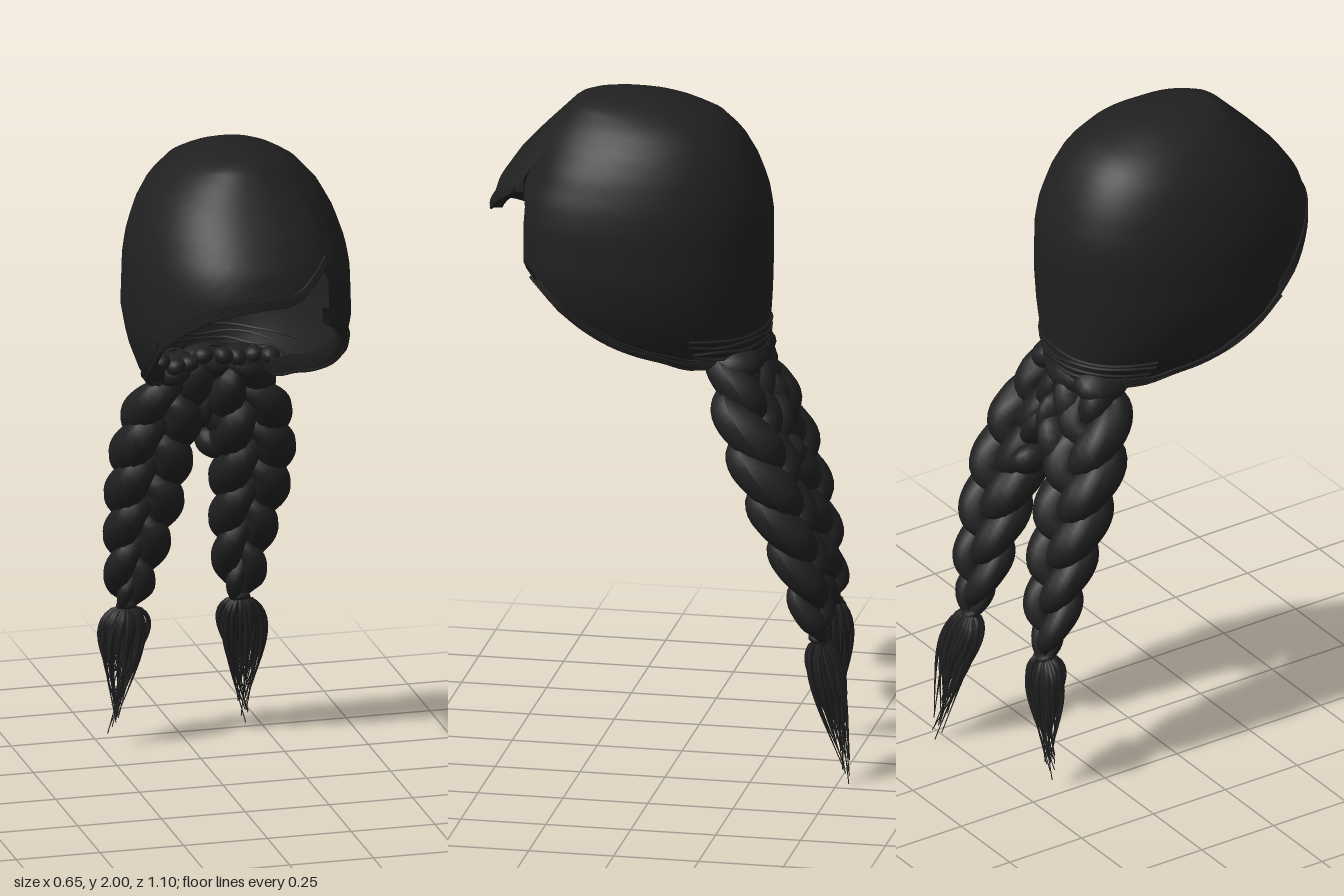
import * as THREE from 'three';

const V = (x, y, z) => new THREE.Vector3(x, y, z);
const hair = new THREE.MeshStandardMaterial({ color: 0x202020, side: THREE.DoubleSide });
hair.name = 'black hair';

let seed = 7;
const rand = () => (seed = (seed * 16807) % 2147483647) / 2147483647;
const spread = (s) => (rand() - 0.5) * 2 * s;

// Linear lookup in rows [key, a, b...] sorted by rising key
function lookup(rows, k, c = 1) {
  let i = 1;
  while (i < rows.length - 1 && rows[i][0] < k) i++;
  const [p, q] = [rows[i - 1], rows[i]];
  return THREE.MathUtils.lerp(p[c], q[c], THREE.MathUtils.clamp((k - p[0]) / (q[0] - p[0]), 0, 1));
}

// Smooth surface through a grid of points
function gridGeometry(rows, cols, point) {
  const pos = [], index = [];
  for (let i = 0; i <= rows; i++) for (let j = 0; j <= cols; j++) pos.push(...point(i, j).toArray());
  for (let i = 0; i < rows; i++) for (let j = 0; j < cols; j++) {
    const a = i * (cols + 1) + j, b = a + cols + 1;
    index.push(a, b, a + 1, b, b + 1, a + 1);
  }
  const g = new THREE.BufferGeometry();
  g.setAttribute('position', new THREE.Float32BufferAttribute(pos, 3));
  g.setIndex(index);
  g.computeVertexNormals();
  return g;
}

// Tube of varying radius along a mostly vertical path
function sweep(path, radius, rows, sides) {
  return gridGeometry(rows, sides, (i, j) => {
    const t = i / rows, p = path(t);
    const tan = path(Math.min(1, t + 0.004)).sub(path(Math.max(0, t - 0.004))).normalize();
    const n = V(0, 0, 1).cross(tan).normalize(), b = tan.clone().cross(n);
    const a = (j / sides) * Math.PI * 2, r = radius(t);
    return p.addScaledVector(n, Math.cos(a) * r).addScaledVector(b, Math.sin(a) * r);
  });
}

function add(parent, name, geometry) {
  const m = new THREE.Mesh(geometry, hair);
  m.name = name;
  parent.add(m);
  return m;
}

// Cap sections: height, half width, front z, back z
const SECTIONS = [
  [1.2, 0.17, 0.42, -0.25], [1.3, 0.265, 0.5, -0.255], [1.4, 0.305, 0.54, -0.26], [1.5, 0.325, 0.55, -0.262],
  [1.65, 0.32, 0.552, -0.262], [1.72, 0.308, 0.53, -0.25], [1.8, 0.282, 0.475, -0.22], [1.87, 0.245, 0.41, -0.18],
  [1.93, 0.19, 0.35, -0.12], [1.97, 0.13, 0.31, -0.03], [1.99, 0.07, 0.265, 0.04], [2, 0, 0.15, 0.15],
];
const HEM = [[-0.05, 1.225], [0, 1.25], [0.1, 1.28], [0.25, 1.37], [0.4, 1.5], [0.55, 1.63]];
const FRINGE = [[-0.31, 1.45], [-0.2, 1.53], [-0.05, 1.59], [0.1, 1.65], [0.19, 1.73]];
const PARTING = 0.62;

// Point of the cap at an angle (0 = front, rising towards +x) and height
function capPoint(a, y, grow = 1) {
  const w = lookup(SECTIONS, y, 1), f = lookup(SECTIONS, y, 2), b = lookup(SECTIONS, y, 3);
  const s = Math.sin(a), c = Math.cos(a);
  // the side panel tucks under the fringe at the parting
  const tuck = 1 - 0.15 * THREE.MathUtils.clamp(1 - (a - PARTING) / 0.7, 0, 1) * THREE.MathUtils.smoothstep(1.93 - y, 0, 0.18);
  return V(w * Math.sign(s) * Math.abs(s) ** 0.85 * grow, y, (f + b) / 2 + ((f - b) / 2) * c * tuck * grow);
}

function hemHeight(a) {
  let y = 1.9;
  for (; y > 1.22; y -= 0.004) {
    const p = capPoint(a, y);
    let limit = lookup(HEM, p.z);
    if (a > Math.PI * 2 - 1.05) limit = Math.max(limit, lookup(FRINGE, p.x));
    if (y <= limit) break;
  }
  return y;
}

// Cap: one open sheet from the parting, round the back, to the fringe end
function capGeometry() {
  const rows = 26, cols = 72;
  const angle = (j) => PARTING + (j / cols) * Math.PI * 2;
  const hems = Array.from({ length: cols + 1 }, (_, j) => hemHeight(angle(j)));
  return gridGeometry(rows + 2, cols, (i, j) => {
    const h = hems[j], t = Math.min(1, i / rows), y = 2 - (2 - h) * t ** 1.6;
    // above the fringe edge the panel runs on beneath the fringe
    const under = 0.3 * Math.max(0, 1 - j / 8) * THREE.MathUtils.smoothstep(y, 1.66, 1.78);
    const p = capPoint(angle(j) - under, y);
    // rolled lip inside the hem
    if (i > rows) {
      p.x *= 0.93;
      p.z = 0.13 + (p.z - 0.13) * 0.93;
      p.y += i === rows + 1 ? 0 : 0.05;
    }
    return p;
  });
}

// Loose strands that follow the hem
function addHemStrands(root) {
  const group = new THREE.Group();
  group.name = 'hemStrands';
  for (let k = 0; k < 22; k++) {
    const side = k % 2 ? 1 : -1;
    const from = 0.75 + rand() * 0.4, to = 2.2 + rand() * 0.6;
    const lift = spread(0.02), grow = 1.0 + rand() * 0.03, pts = [];
    for (let i = 0; i <= 9; i++) {
      const a = THREE.MathUtils.lerp(from, to, i / 9);
      const full = side > 0 ? a : Math.PI * 2 - a;
      pts.push(capPoint(full, hemHeight(full) + lift + 0.008, grow));
    }
    add(group, 'hemStrand', new THREE.TubeGeometry(new THREE.CatmullRomCurve3(pts), 24, 0.004, 5));
  }
  // creases combed along the fringe edge
  for (let k = 0; k < 6; k++) {
    const pts = [];
    for (let i = 0; i <= 8; i++) {
      const a = Math.PI * 2 + THREE.MathUtils.lerp(-1.1, PARTING - 0.03, i / 8);
      pts.push(capPoint(a, hemHeight(a) + k * 0.009 * (1 - i / 12), 1.003));
    }
    add(group, 'fringeStrand', new THREE.TubeGeometry(new THREE.CatmullRomCurve3(pts), 24, 0.005, 5));
  }
  root.add(group);
}

// Three plaited strands, a tie and a loose tail
function addBraid(root, name, points, tip, phase) {
  const group = new THREE.Group();
  group.name = name;
  const curve = new THREE.CatmullRomCurve3(points.map((p) => V(...p)));
  const size = [[0, 0.7], [0.12, 0.92], [0.3, 1.05], [0.55, 1], [0.8, 0.78], [0.93, 0.6], [1, 0.25]];
  for (let k = 0; k < 3; k++) {
    const turn = (t) => phase + t * Math.PI * 2 * 2 + (k * Math.PI * 2) / 3;
    const path = (t) => {
      const p = curve.getPointAt(t), f = turn(t), s = lookup(size, t);
      return p.add(V(Math.sin(f) * 0.062 * s, Math.sin(2 * f) * 0.014 * s, Math.sin(2 * f) * 0.044 * s));
    };
    const radius = (t) => lookup(size, t) * (0.038 + 0.023 * Math.sin(turn(t)) ** 2);
    add(group, 'braidStrand', sweep(path, radius, 90, 12));
  }
  const end = V(...points[points.length - 1]), tipPoint = V(...tip);
  const tie = add(group, 'braidTie', new THREE.TorusGeometry(0.02, 0.011, 8, 16));
  tie.position.copy(end);
  tie.rotation.x = Math.PI / 2 - 0.3;
  // tail strands swell below the tie, then run to a point
  for (let k = 0; k < 44; k++) {
    const a = rand() * Math.PI * 2, wide = 0.072 * Math.sqrt(0.15 + 0.85 * rand());
    const reach = k === 0 ? 1 : 0.5 + 0.45 * rand(), sx = spread(0.015), sz = spread(0.015);
    const path = (t) => {
      const p = end.clone().lerp(tipPoint, t * reach);
      const bulge = wide * Math.sin(Math.PI * t ** 0.58);
      return p.add(V(Math.cos(a) * bulge + sx * t, 0, Math.sin(a) * bulge * 0.7 + sz * t));
    };
    add(group, 'tailStrand', sweep(path, (t) => 0.0015 + 0.0085 * Math.sin(Math.PI * Math.min(1, t + 0.15)) * (1 - t), 16, 5));
  }
  root.add(group);
}

// Gathered locks where the braids leave the nape
function addNape(root) {
  const group = new THREE.Group();
  group.name = 'napeLocks';
  const lock = (x, y, z, sx, sy, sz, tilt) => {
    const m = add(group, 'napeLock', new THREE.SphereGeometry(1, 14, 10));
    m.position.set(x, y, z);
    m.scale.set(sx, sy, sz);
    m.rotation.z = tilt;
  };
  for (const s of [-1, 1]) {
    lock(s * 0.11, 1.225, -0.17, 0.07, 0.05, 0.085, s * -0.4);
    lock(s * 0.045, 1.15, -0.21, 0.045, 0.09, 0.075, s * 0.4);
    lock(s * 0.045, 1.04, -0.265, 0.042, 0.085, 0.075, s * 0.5);
    for (let i = 0; i < 4; i++) lock(s * (0.03 + i * 0.045), 1.265 + spread(0.01), -0.1 + spread(0.02), 0.03, 0.025, 0.03, spread(0.5));
  }
  lock(0, 1.22, -0.2, 0.1, 0.06, 0.065, 0);
  lock(0.0, 1.09, -0.25, 0.04, 0.08, 0.07, 0);
  lock(0.045, 0.945, -0.31, 0.045, 0.055, 0.065, 0.7);
  // thin bands of hair wrapped round the nape
  for (let i = 0; i < 5; i++) {
    const pts = [];
    for (let j = 0; j <= 8; j++) {
      const a = 2.1 + (j / 8) * 2.1;
      pts.push(capPoint(a, 1.235 + i * 0.02 + spread(0.006), 1.005));
    }
    add(group, 'napeBand', new THREE.TubeGeometry(new THREE.CatmullRomCurve3(pts), 24, 0.005, 6));
  }
  root.add(group);
}

export function createModel() {
  const root = new THREE.Group();
  root.name = 'braidedHair';
  add(root, 'hairCap', capGeometry());
  addHemStrands(root);
  addNape(root);
  addBraid(root, 'leftBraid', [[0.06, 1.25, -0.15], [0.12, 1.12, -0.2], [0.16, 0.95, -0.27],
    [0.167, 0.8, -0.33], [0.16, 0.6, -0.395], [0.165, 0.42, -0.435]], [0.205, 0, -0.54], 0.4);
  addBraid(root, 'rightBraid', [[-0.06, 1.25, -0.15], [-0.115, 1.12, -0.195], [-0.142, 0.95, -0.26],
    [-0.15, 0.8, -0.31], [-0.165, 0.6, -0.37], [-0.18, 0.43, -0.41]], [-0.22, 0.04, -0.415], 2.2);
  return root;
}
